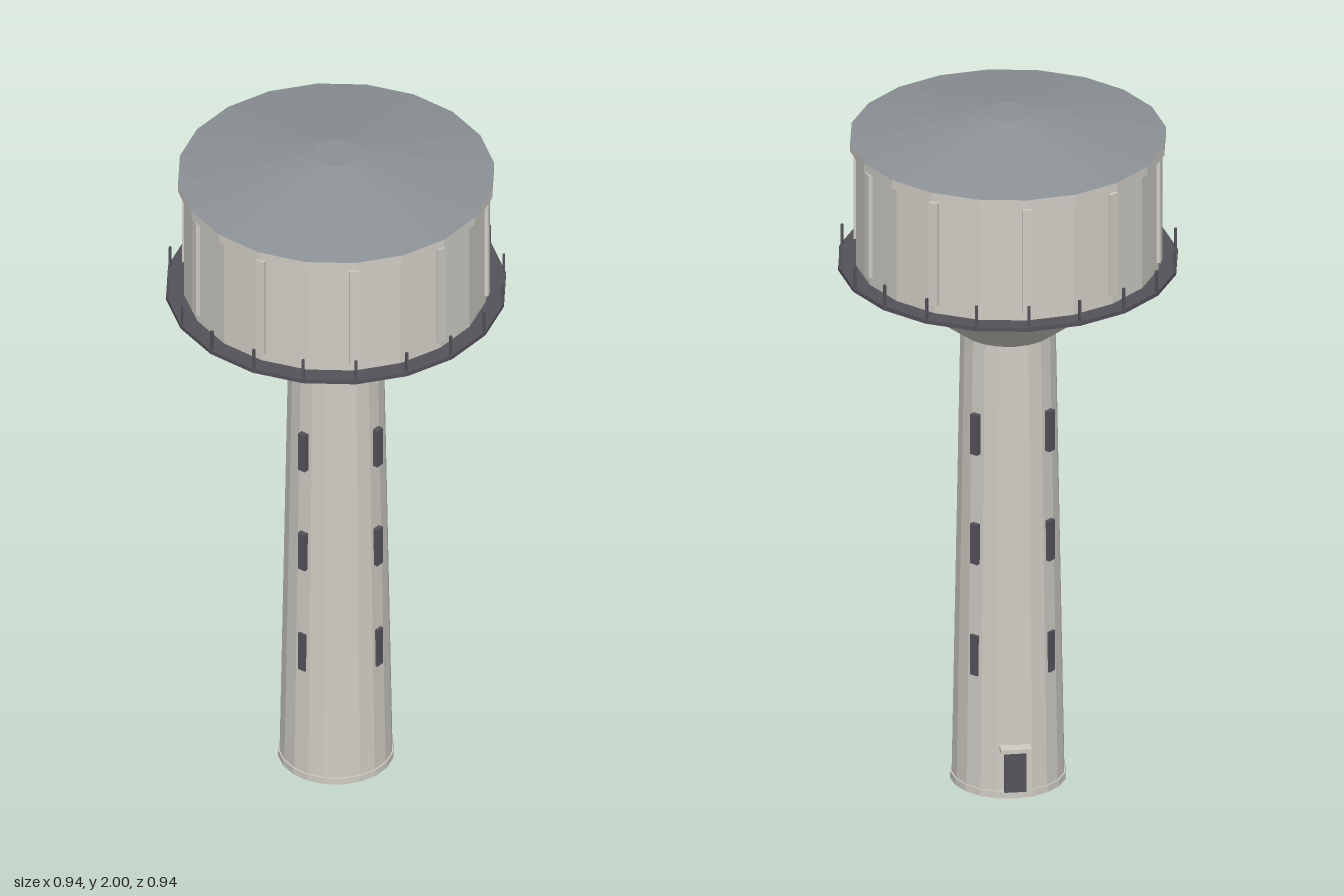
import * as THREE from 'three';

const SIDES = 20;

export function createModel() {
  const model = new THREE.Group();
  model.name = 'waterTower';

  const material = (name, color) => {
    const m = new THREE.MeshStandardMaterial({ color, flatShading: true });
    m.name = name;
    return m;
  };
  const concrete = material('concrete', 0xcfccc4);
  const roofGrey = material('roof grey', 0x8c9196);
  const darkMetal = material('dark metal', 0x55535a);

  const add = (name, geometry, mat, parent = model) => {
    const mesh = new THREE.Mesh(geometry, mat);
    mesh.name = name;
    parent.add(mesh);
    return mesh;
  };

  // Tapered round section between two heights
  const drum = (name, rBottom, rTop, y0, y1, mat) => {
    const mesh = add(name, new THREE.CylinderGeometry(rTop, rBottom, y1 - y0, SIDES), mat);
    mesh.position.y = (y0 + y1) / 2;
    return mesh;
  };

  // Boxes spaced evenly around the axis, each facing outward
  const ring = (name, count, startAngle, radius, y, size, mat) => {
    const group = new THREE.Group();
    group.name = name + 's';
    model.add(group);
    const geometry = new THREE.BoxGeometry(...size);
    for (let i = 0; i < count; i++) {
      const a = startAngle + (i / count) * Math.PI * 2;
      const mesh = add(name, geometry, mat, group);
      mesh.position.set(Math.sin(a) * radius, y, Math.cos(a) * radius);
      mesh.rotation.y = a;
    }
  };

  // Shaft and bowl
  drum('plinth', 0.16, 0.16, 0, 0.02, concrete);
  drum('shaft', 0.156, 0.132, 0.02, 1.355, concrete);
  drum('bowl', 0.132, 0.4, 1.35, 1.55, concrete);

  // Gallery with railing posts on its corners
  drum('gallery', 0.47, 0.47, 1.548, 1.56, darkMetal);
  ring('railPost', SIDES, 0, 0.464, 1.589, [0.007, 0.066, 0.007], darkMetal);

  // Tank with ribs
  drum('tank', 0.42, 0.42, 1.56, 1.91, concrete);
  ring('rib', 10, 0, 0.42, 1.74, [0.026, 0.31, 0.018], concrete);

  // Rim and shallow roof
  drum('rim', 0.437, 0.437, 1.905, 1.93, concrete);
  drum('roof', 0.437, 0.066, 1.93, 2, roofGrey);

  // Slit windows on the diagonals
  for (const y of [0.415, 0.75, 1.08]) {
    ring('window', 4, Math.PI / 4, 0.146, y, [0.024, 0.12, 0.016], darkMetal);
  }

  // Door and canopy at the back
  add('door', new THREE.BoxGeometry(0.06, 0.125, 0.03), darkMetal).position.set(0, 0.0825, -0.148);
  add('canopy', new THREE.BoxGeometry(0.085, 0.012, 0.05), concrete).position.set(0, 0.152, -0.16);

  return model;
}
